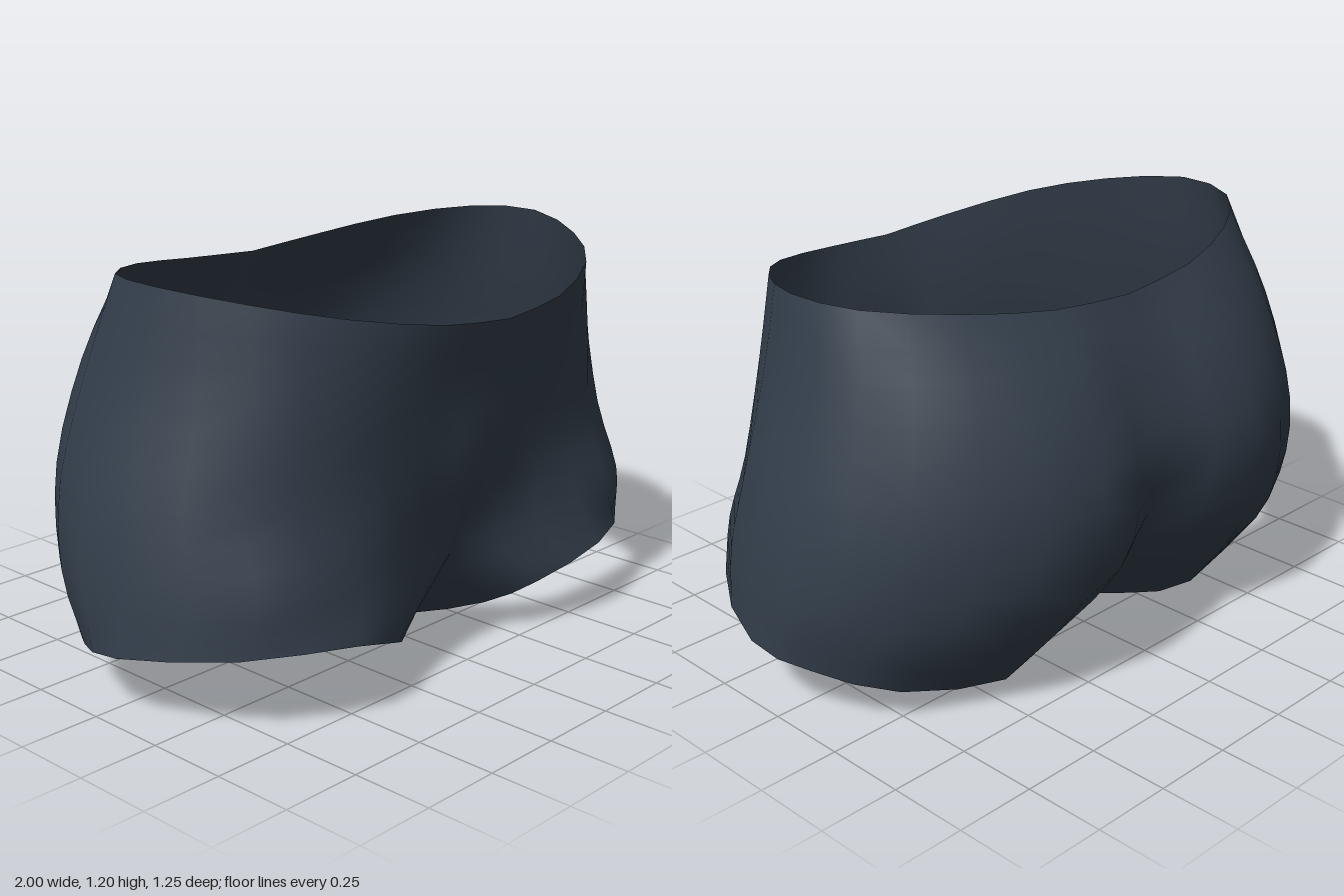
import * as THREE from 'three';
import { mergeVertices } from 'three/addons/utils/BufferGeometryUtils.js';

const STEPS = 3;        // rows between two cross-sections
const BODY = 16;        // column index of the back centre line
const LOOP = 24;        // columns around one leg

// Half cross-sections, from front centre round the side to back centre
const waist = [[0, 1.065, .625], [.25, 1.085, .605], [.52, 1.13, .5], [.7, 1.17, .32], [.81, 1.2, .08],
  [.76, 1.195, -.14], [.55, 1.17, -.3], [.28, 1.135, -.385], [0, 1.115, -.4]];
const belly = [[0, .87, .575], [.23, .88, .55], [.5, .9, .5], [.72, .92, .36], [.865, .92, .08],
  [.83, .92, -.2], [.62, .92, -.43], [.3, .91, -.54], [0, .9, -.49]];
const hip = [[0, .62, .54], [.2, .62, .505], [.48, .62, .49], [.78, .62, .38], [.95, .62, .09],
  [.91, .62, -.23], [.68, .62, -.49], [.33, .64, -.628], [0, .66, -.55]];
// Closed loops: thigh top (its last three points are the crotch seam) and leg hem
const thigh = [[0, .33, .43], [.17, .36, .46], [.48, .4, .525], [.8, .41, .45], [.985, .4, .1],
  [.95, .37, -.19], [.72, .34, -.44], [.36, .33, -.565], [0, .36, -.45],
  [0, .165, -.15], [0, .095, .03], [0, .125, .2]];
const hem = [[.2, .1, .4], [.32, .165, .51], [.55, .245, .57], [.85, .25, .42], [1, .21, .1],
  [.95, .175, -.1], [.78, .11, -.28], [.42, .015, -.33], [.22, .015, -.24],
  [.12, .01, -.11], [.055, .005, .02], [.09, .04, .2]];

const spline = (pts, closed) =>
  new THREE.CatmullRomCurve3(pts.map(p => new THREE.Vector3(...p)), closed, 'catmullrom', 0.5);

// Keep points on their own side of the centre plane
function clampSide(p) {
  p.x = p.x < 0.002 ? 0 : p.x;
  return p;
}

function shortsGeometry() {
  const open = [waist, belly, hip].map(s => spline(s, false));
  const thighCurve = spline(thigh, true);
  const hemCurve = spline(hem, true);

  // Columns run from waist (or crotch seam) down to the hem
  const columns = [];
  for (let c = 0; c < LOOP; c++) {
    const top = clampSide(thighCurve.getPoint(c / LOOP));
    if (c === 0 || c >= BODY) top.x = 0;
    const bottom = clampSide(hemCurve.getPoint(c / LOOP));
    const col = [];
    if (c <= BODY) {
      const keys = open.map(s => clampSide(s.getPoint(c / BODY)));
      const line = new THREE.CatmullRomCurve3([...keys, top, bottom], false, 'catmullrom', 0.5);
      for (let r = 0; r <= 4 * STEPS; r++) {
        const p = clampSide(line.getPoint(r / (4 * STEPS)));
        if ((c === 0 || c === BODY) && r <= 3 * STEPS) p.x = 0;
        col.push(p);
      }
    } else {
      for (let r = 0; r <= STEPS; r++) col[3 * STEPS + r] = top.clone().lerp(bottom, r / STEPS);
    }
    columns.push(col);
  }

  // Skin both mirrored halves into one surface
  const positions = [];
  const tri = (a, b, c) => {
    for (const p of [a, b, c]) positions.push(p.x, p.y, p.z);
    for (const p of [a, c, b]) positions.push(-p.x, p.y, p.z);
  };
  for (let c = 0; c < LOOP; c++) {
    const a = columns[c], b = columns[(c + 1) % LOOP];
    for (let r = c < BODY ? 0 : 3 * STEPS; r < 4 * STEPS; r++) {
      tri(a[r], a[r + 1], b[r + 1]);
      tri(a[r], b[r + 1], b[r]);
    }
  }
  const raw = new THREE.BufferGeometry();
  raw.setAttribute('position', new THREE.Float32BufferAttribute(positions, 3));
  const geometry = mergeVertices(raw, 1e-4);
  geometry.computeVertexNormals();
  return geometry;
}

export function createModel() {
  const fabric = new THREE.MeshStandardMaterial({ color: 0x333e4b, side: THREE.DoubleSide });
  fabric.name = 'dark slate fabric';

  const shorts = new THREE.Mesh(shortsGeometry(), fabric);
  shorts.name = 'shorts';

  const model = new THREE.Group();
  model.name = 'fittedShorts';
  model.add(shorts);
  return model;
}
